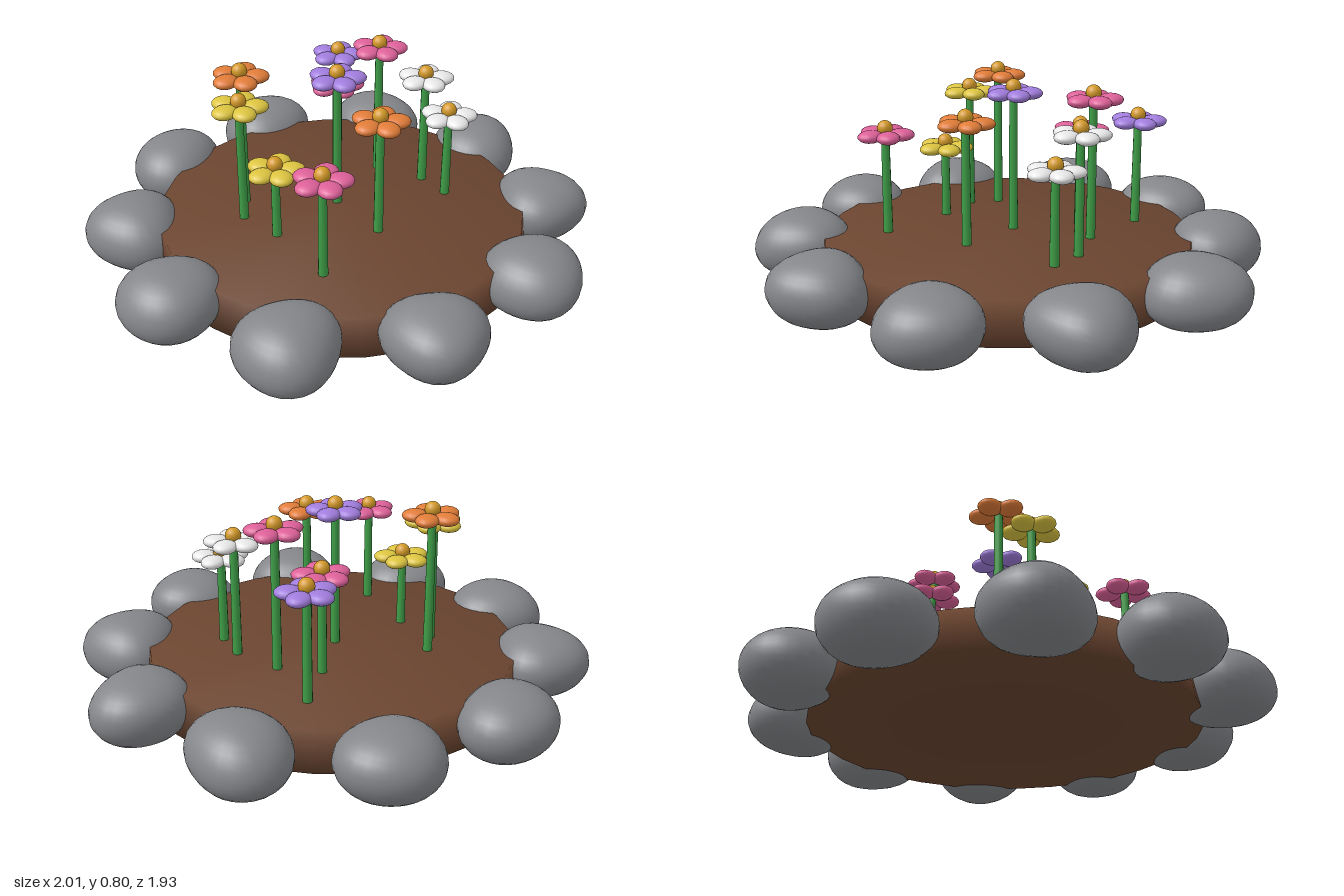
import * as THREE from 'three';
import { mergeVertices } from 'three/addons/utils/BufferGeometryUtils.js';

const mat = (name, color) => {
  const m = new THREE.MeshStandardMaterial({ color });
  m.name = name;
  return m;
};

// Weld a geometry and give it continuous smooth normals
function smooth(geo) {
  geo.deleteAttribute('uv');
  geo.deleteAttribute('normal');
  const g = mergeVertices(geo, 1e-4);
  g.computeVertexNormals();
  return g;
}

// Lumpy boulder: an oval outline (a, p) plus a three-lobed one (b, q)
function rockGeometry(a, p, b, q) {
  const geo = new THREE.SphereGeometry(1, 28, 18);
  const pos = geo.attributes.position;
  for (let i = 0; i < pos.count; i++) {
    const x = pos.getX(i), y = pos.getY(i), z = pos.getZ(i);
    const t = Math.atan2(z, x);
    const flat = Math.pow(Math.hypot(x, z), 0.88);
    const r = 0.188 * flat * (1 + a * Math.cos(2 * (t - p)) + b * Math.cos(3 * (t - q)));
    const lift = 0.012 * flat * (1 - y * y) * Math.cos(t - p - q);
    pos.setXYZ(i, r * Math.cos(t), 0.132 * y + lift, r * Math.sin(t));
  }
  return smooth(geo);
}

export function createModel() {
  const model = new THREE.Group();
  model.name = 'flowerBed';

  const soil = mat('soil brown', 0x6b4530);
  const stone = mat('stone grey', 0x84868a);
  const green = mat('stem green', 0x3f9f48);
  const gold = mat('centre gold', 0xd49a28);
  const petals = {
    orange: mat('petal orange', 0xe07c38),
    yellow: mat('petal yellow', 0xdcc440),
    pink: mat('petal pink', 0xdc6098),
    purple: mat('petal purple', 0xa07cdc),
    white: mat('petal white', 0xeaeaea),
  };

  const add = (parent, name, geo, material, x, y, z) => {
    const m = new THREE.Mesh(geo, material);
    m.name = name;
    m.position.set(x, y, z);
    parent.add(m);
    return m;
  };

  // Round soil bed
  add(model, 'soilBed', smooth(new THREE.CylinderGeometry(0.715, 0.735, 0.16, 32)), soil, 0, 0.12, 0);

  // Ring of border rocks: x, z, oval amount and direction, lobe amount and direction
  const rocks = [
    [-0.26, -0.78, 0.05, -0.6, 0.02, -0.3],
    [0.245, -0.78, 0.08, 0.78, 0.02, 0.5],
    [0.65, -0.49, 0.06, -1.2, 0.03, -0.9],
    [0.81, -0.01, 0.01, 1.57, 0.06, 0],
    [0.655, 0.47, 0.01, 0, 0.04, -0.78],
    [0.24, 0.765, 0.02, 0, 0.06, 1.57],
    [-0.265, 0.765, 0.02, -0.6, 0.05, -0.7],
    [-0.665, 0.46, 0.03, 0, 0.03, -0.6],
    [-0.81, 0, 0.02, 1.2, 0.06, 3.14],
    [-0.66, -0.49, 0.08, -1.1, 0.02, -0.8],
  ];
  for (const [x, z, a, p, b, q] of rocks) {
    add(model, 'borderRock', rockGeometry(a, p, b, q), stone, x, 0.137, z);
  }

  // Flowers: x, z, head height, colour
  const flowers = [
    [-0.375, -0.07, 0.745, 'orange'],
    [-0.385, 0.05, 0.68, 'yellow'],
    [-0.265, 0.185, 0.483, 'yellow'],
    [-0.115, 0.455, 0.59, 'pink'],
    [-0.013, -0.025, 0.742, 'purple'],
    [0.043, -0.52, 0.612, 'purple'],
    [0.013, -0.29, 0.585, 'pink'],
    [0.183, -0.275, 0.742, 'pink'],
    [0.12, 0.2, 0.668, 'orange'],
    [0.352, -0.163, 0.655, 'white'],
    [0.425, -0.043, 0.548, 'white'],
  ];
  const petalGeo = new THREE.SphereGeometry(1, 16, 12).scale(0.05, 0.024, 0.045);
  const centreGeo = new THREE.SphereGeometry(0.03, 16, 12);
  for (const [x, z, h, colour] of flowers) {
    const flower = new THREE.Group();
    flower.name = colour + 'Flower';
    flower.position.set(x, 0, z);
    model.add(flower);
    const len = h - 0.17;
    add(flower, 'stem', new THREE.CylinderGeometry(0.016, 0.019, len, 10), green, 0, 0.17 + len / 2, 0);
    // Five flat petals around a round centre
    for (let i = 0; i < 5; i++) {
      const t = (i / 5) * Math.PI * 2;
      const petal = add(flower, 'petal', petalGeo, petals[colour], 0.063 * Math.cos(t), h, 0.063 * Math.sin(t));
      petal.rotation.y = -t;
    }
    add(flower, 'flowerCentre', centreGeo, gold, 0, h + 0.026, 0);
  }
  return model;
}
